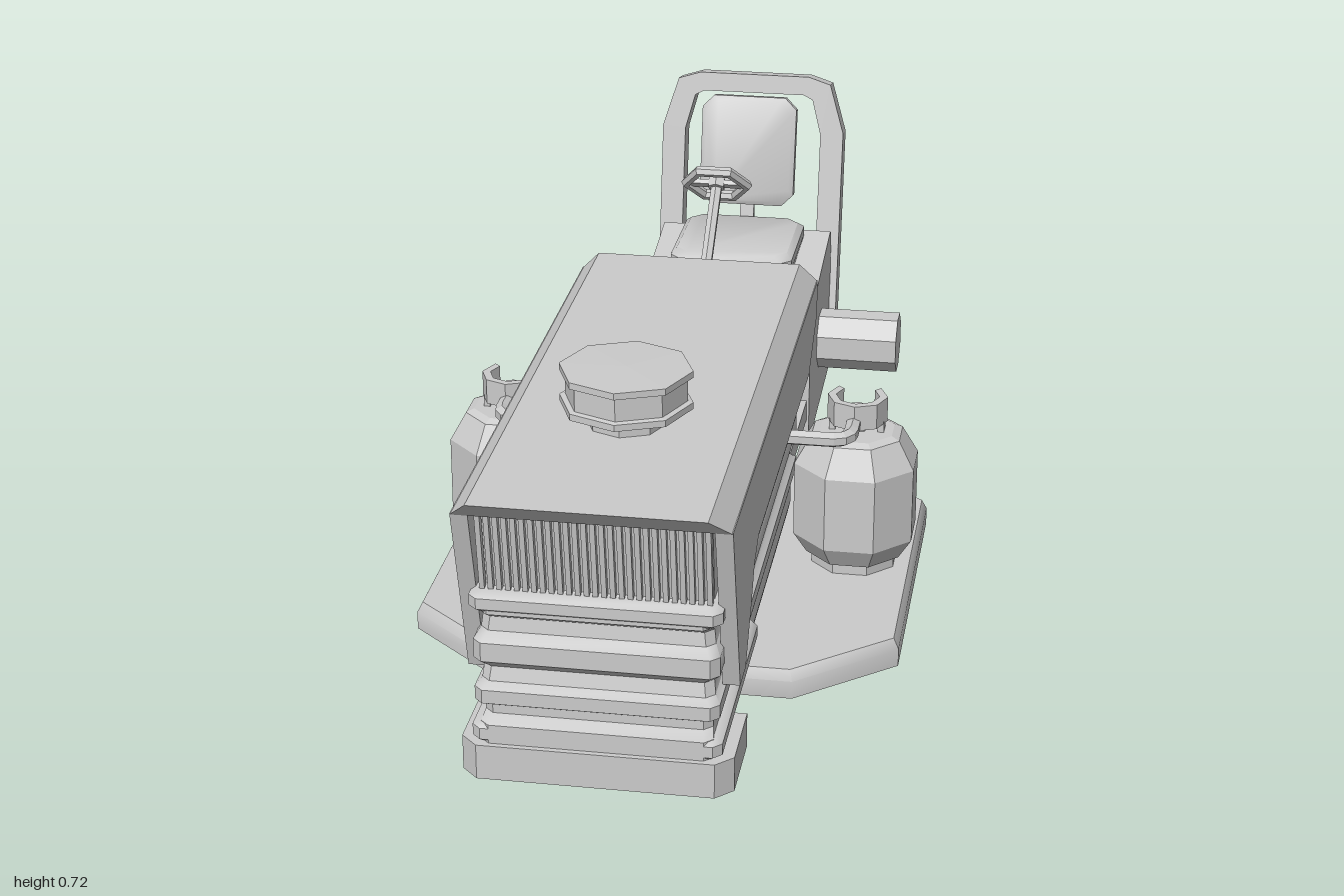
import * as THREE from 'three';
import { toCreasedNormals } from 'three/addons/utils/BufferGeometryUtils.js';

const flat = new THREE.MeshStandardMaterial({ color: 0xcccccc, flatShading: true, side: THREE.DoubleSide });
const smooth = new THREE.MeshStandardMaterial({ color: 0xcccccc, side: THREE.DoubleSide });

function add(parent, name, geometry, x = 0, y = 0, z = 0, material = flat) {
  const mesh = new THREE.Mesh(geometry, material);
  mesh.name = name;
  mesh.position.set(x, y, z);
  parent.add(mesh);
  return mesh;
}

// Rectangle with cut corners in the ground plane, at height y
function ring(y, hx, zr, zf, cx, cz = cx) {
  return [[-hx + cx, zf], [hx - cx, zf], [hx, zf - cz], [hx, zr + cz],
    [hx - cx, zr], [-hx + cx, zr], [-hx, zr + cz], [-hx, zf - cz]].map(([x, z]) => [x, y, z]);
}

// Closed skin over a stack of rings, lowest first
function loft(rings) {
  const n = rings[0].length, pos = rings.flat(2), idx = [];
  for (let r = 0; r < rings.length - 1; r++) {
    for (let i = 0; i < n; i++) {
      const a = r * n + i, b = r * n + (i + 1) % n;
      idx.push(a, b, b + n, a, b + n, a + n);
    }
  }
  const top = (rings.length - 1) * n;
  for (let i = 1; i < n - 1; i++) idx.push(0, i + 1, i, top, top + i, top + i + 1);
  const g = new THREE.BufferGeometry();
  g.setAttribute('position', new THREE.Float32BufferAttribute(pos, 3));
  g.setIndex(idx);
  return toCreasedNormals(g, 0.75);
}

// Side outline given as [z, y], extruded across x and centred
function sidePlate(points, width) {
  const shape = new THREE.Shape(points.map(([z, y]) => new THREE.Vector2(z, y)));
  return new THREE.ExtrudeGeometry(shape, { depth: width, bevelEnabled: false })
    .rotateY(-Math.PI / 2).translate(width / 2, 0, 0);
}

function rod(parent, name, a, b, r, sides = 6) {
  const A = new THREE.Vector3(...a), B = new THREE.Vector3(...b), d = B.clone().sub(A);
  const m = add(parent, name, new THREE.CylinderGeometry(r, r, d.length(), sides));
  m.position.copy(A).add(B).multiplyScalar(0.5);
  m.quaternion.setFromUnitVectors(new THREE.Vector3(0, 1, 0), d.normalize());
  return m;
}

const octagon = (profile) => new THREE.LatheGeometry(
  profile.map(([r, y]) => new THREE.Vector2(r / Math.cos(Math.PI / 8), y)), 8, Math.PI / 8);

function buildTank(s) {
  const tank = new THREE.Group();
  tank.name = s > 0 ? 'leftTank' : 'rightTank';
  const x = s * 0.34, z = 0.025;
  add(tank, 'tankBody', octagon([[0, 0.05], [0.08, 0.05], [0.08, 0.075], [0.09, 0.078], [0.115, 0.12],
    [0.115, 0.27], [0.085, 0.325], [0.07, 0.332], [0, 0.332]]), x, 0, z);
  add(tank, 'valve', new THREE.CylinderGeometry(0.018, 0.022, 0.05, 8), x, 0.353, z);
  // Valve guard, open towards the front
  const guard = new THREE.Shape();
  const arc = (r, i) => {
    const a = Math.PI * (0.75 + i * 0.25);
    return [r * Math.cos(a), r * Math.sin(a)];
  };
  for (let i = 0; i <= 6; i++) i ? guard.lineTo(...arc(0.058, i)) : guard.moveTo(...arc(0.058, i));
  for (let i = 6; i >= 0; i--) guard.lineTo(...arc(0.042, i));
  add(tank, 'valveGuard', new THREE.ExtrudeGeometry(guard, { depth: 0.05, bevelEnabled: false })
    .rotateX(-Math.PI / 2).rotateY(Math.PI), x, 0.35, z).rotation.y = Math.PI;
  for (const k of [-1, 1]) {
    add(tank, 'guardPost', new THREE.BoxGeometry(0.012, 0.03, 0.03), x + k * 0.047, 0.34, z);
  }
  // Gas pipe bending in under the hood
  const bend = new THREE.CurvePath();
  const pts = [[0.338, z], [0.338, 0.115], [0.3, 0.155], [0.2, 0.155]]
    .map(([px, pz]) => new THREE.Vector3(s * px, 0.362, pz));
  bend.add(new THREE.LineCurve3(pts[0], pts[1]));
  bend.add(new THREE.QuadraticBezierCurve3(pts[1], new THREE.Vector3(s * 0.338, 0.362, 0.155), pts[2]));
  bend.add(new THREE.LineCurve3(pts[2], pts[3]));
  add(tank, 'gasPipe', new THREE.TubeGeometry(bend, 14, 0.015, 6));
  return tank;
}

export function createModel() {
  const model = new THREE.Group();
  model.name = 'ridingTractor';

  // Cutting deck and its hub
  add(model, 'deck', loft([ring(0, 0.46, -0.41, 0.51, 0.18, 0.155),
    ring(0.035, 0.46, -0.41, 0.51, 0.18, 0.155), ring(0.055, 0.45, -0.4, 0.5, 0.175, 0.15)]), 0, 0, 0, smooth);
  add(model, 'deckHub', new THREE.CylinderGeometry(0.125, 0.125, 0.06, 8), 0, 0.08, 0.06);

  // Ribbed engine body: height, half width, front
  const rows = [[0.10, 0.197, 0.925], [0.115, 0.2, 0.945], [0.15, 0.2, 0.945], [0.162, 0.196, 0.922],
    [0.178, 0.196, 0.922], [0.19, 0.21, 0.942], [0.215, 0.21, 0.942], [0.225, 0.2, 0.925], [0.25, 0.197, 0.918],
    [0.27, 0.21, 0.942], [0.305, 0.21, 0.942], [0.32, 0.2, 0.922], [0.345, 0.197, 0.918],
    [0.36, 0.198, 0.942], [0.39, 0.198, 0.942], [0.402, 0.196, 0.915], [0.555, 0.196, 0.94]];
  add(model, 'engineBody', loft(rows.map(([y, hx, zf]) =>
    ring(y, hx, -0.09 - (zf - 0.94) * 0.8, zf, 0.015))), 0, 0, 0, smooth);
  for (const [y, h] of [[0.38, 0.04], [0.132, 0.042]]) {
    const r = (dy, inset) => ring(y + dy, 0.215 - inset, 0.49, 0.945 - inset, 0.015);
    add(model, 'frontRib', loft([r(-h / 2, 0.012), r(-h / 4, 0), r(h / 4, 0), r(h / 2, 0.012)]), 0, 0, 0, smooth);
  }

  // Grille slats
  for (let i = 0; i < 27; i++) {
    add(model, 'grilleSlat', new THREE.BoxGeometry(0.009, 0.155, 0.014), (i - 13) * 0.0148, 0.478, 0.932)
      .rotation.x = 0.16;
  }

  // Hood: bevelled top with raked ends, and two cut-out side panels
  const section = new THREE.Shape([[-0.235, 0.55], [0.235, 0.55], [0.2, 0.588], [-0.2, 0.588]]
    .map((p) => new THREE.Vector2(...p)));
  const hood = new THREE.ExtrudeGeometry(section, { depth: 1.165, bevelEnabled: false }).translate(0, 0, -0.165);
  const p = hood.attributes.position;
  for (let i = 0; i < p.count; i++) {
    if (p.getY(i) < 0.56) p.setZ(i, p.getZ(i) > 0 ? 0.96 : -0.178);
  }
  add(model, 'hoodTop', hood);
  for (const s of [-1, 1]) {
    add(model, 'hoodSide', sidePlate([[0.96, 0.552], [0.865, 0.22], [0.8, 0.22], [0.735, 0.31], [0.7, 0.37],
      [0.65, 0.4], [-0.06, 0.4], [-0.175, 0.48], [-0.178, 0.552]], 0.03), s * 0.22);
  }

  // Air cleaner on the hood
  add(model, 'airCleaner', new THREE.LatheGeometry([[0, 0.58], [0.07, 0.58], [0.07, 0.62], [0.117, 0.62],
    [0.117, 0.632], [0.107, 0.634], [0.107, 0.676], [0.117, 0.678], [0.117, 0.69], [0, 0.692]]
    .map((q) => new THREE.Vector2(...q)), 8), 0, 0, 0.63);

  // Front bumper, a U opening to the rear
  const bumper = new THREE.Shape([[-0.235, -0.775], [-0.235, -0.925], [-0.205, -0.955], [0.205, -0.955],
    [0.235, -0.925], [0.235, -0.775], [0.205, -0.775], [0.205, -0.915], [-0.205, -0.915], [-0.205, -0.775]]
    .map((q) => new THREE.Vector2(...q)));
  add(model, 'bumper', new THREE.ExtrudeGeometry(bumper, { depth: 0.065, bevelEnabled: false })
    .rotateX(-Math.PI / 2), 0, 0.05, 0);
  add(model, 'bumperTop', loft([ring(0.1, 0.225, 0.775, 0.945, 0.03), ring(0.115, 0.225, 0.775, 0.945, 0.03)]));

  // Floor frame between engine and seat box
  add(model, 'floorFrame', new THREE.BoxGeometry(0.36, 0.045, 0.5), 0, 0.127, -0.27);

  for (const s of [-1, 1]) model.add(buildTank(s));

  // Steering column and six-sided wheel
  rod(model, 'steeringColumn', [0, 0.655, -0.395], [0, 0.365, -0.06], 0.012);
  const wheel = new THREE.Group();
  wheel.name = 'steeringWheel';
  add(wheel, 'wheelRim', new THREE.TorusGeometry(0.062, 0.011, 6, 6));
  add(wheel, 'wheelSpoke', new THREE.BoxGeometry(0.12, 0.016, 0.01));
  add(wheel, 'wheelHub', new THREE.CylinderGeometry(0.018, 0.018, 0.02, 6)).rotation.x = Math.PI / 2;
  wheel.position.set(0, 0.663, -0.398);
  wheel.rotation.x = -Math.PI * 0.75;
  model.add(wheel);

  // Seat box with a bevelled rim and side drums
  add(model, 'seatBox', sidePlate([[-0.5, 0.045], [-0.5, 0.335], [-0.515, 0.345], [-0.85, 0.405],
    [-0.865, 0.395], [-0.865, 0.075]], 0.37));
  rod(model, 'sideDrums', [-0.355, 0.22, -0.685], [0.355, 0.22, -0.685], 0.064, 8).rotateY(Math.PI / 8);

  // Seat cushion, backrest and its post
  add(model, 'seatCushion', loft([ring(0.36, 0.12, -0.83, -0.6, 0.02), ring(0.405, 0.13, -0.845, -0.58, 0.025),
    ring(0.425, 0.13, -0.845, -0.58, 0.025), ring(0.437, 0.118, -0.83, -0.595, 0.025)]), 0, 0, 0, smooth);
  const back = new THREE.Group();
  back.name = 'backrest';
  add(back, 'backPad', loft([ring(-0.016, 0.103, -0.118, 0.118, 0.025), ring(0.008, 0.103, -0.118, 0.118, 0.025),
    ring(0.016, 0.093, -0.108, 0.108, 0.025)]), 0, 0, 0, smooth).rotation.x = Math.PI / 2;
  add(back, 'backPost', new THREE.BoxGeometry(0.03, 0.25, 0.015), 0, -0.05, -0.022);
  back.position.set(0, 0.58, -0.858);
  back.rotation.x = -0.22;
  model.add(back);

  // Roll bar: a leaning closed hoop
  const hoop = new THREE.Shape([[-0.2, 0], [0.2, 0], [0.2, 0.46], [0.168, 0.565], [0.12, 0.58],
    [-0.12, 0.58], [-0.168, 0.565], [-0.2, 0.46]].map((q) => new THREE.Vector2(...q)));
  hoop.holes.push(new THREE.Path([[-0.15, 0.035], [-0.15, 0.455], [-0.13, 0.53], [-0.11, 0.54],
    [0.11, 0.54], [0.13, 0.53], [0.15, 0.455], [0.15, 0.035]].map((q) => new THREE.Vector2(...q))));
  add(model, 'rollBar', new THREE.ExtrudeGeometry(hoop, { depth: 0.055, bevelEnabled: false }), 0, 0.145, -0.889)
    .rotation.x = -0.195;

  return model;
}
